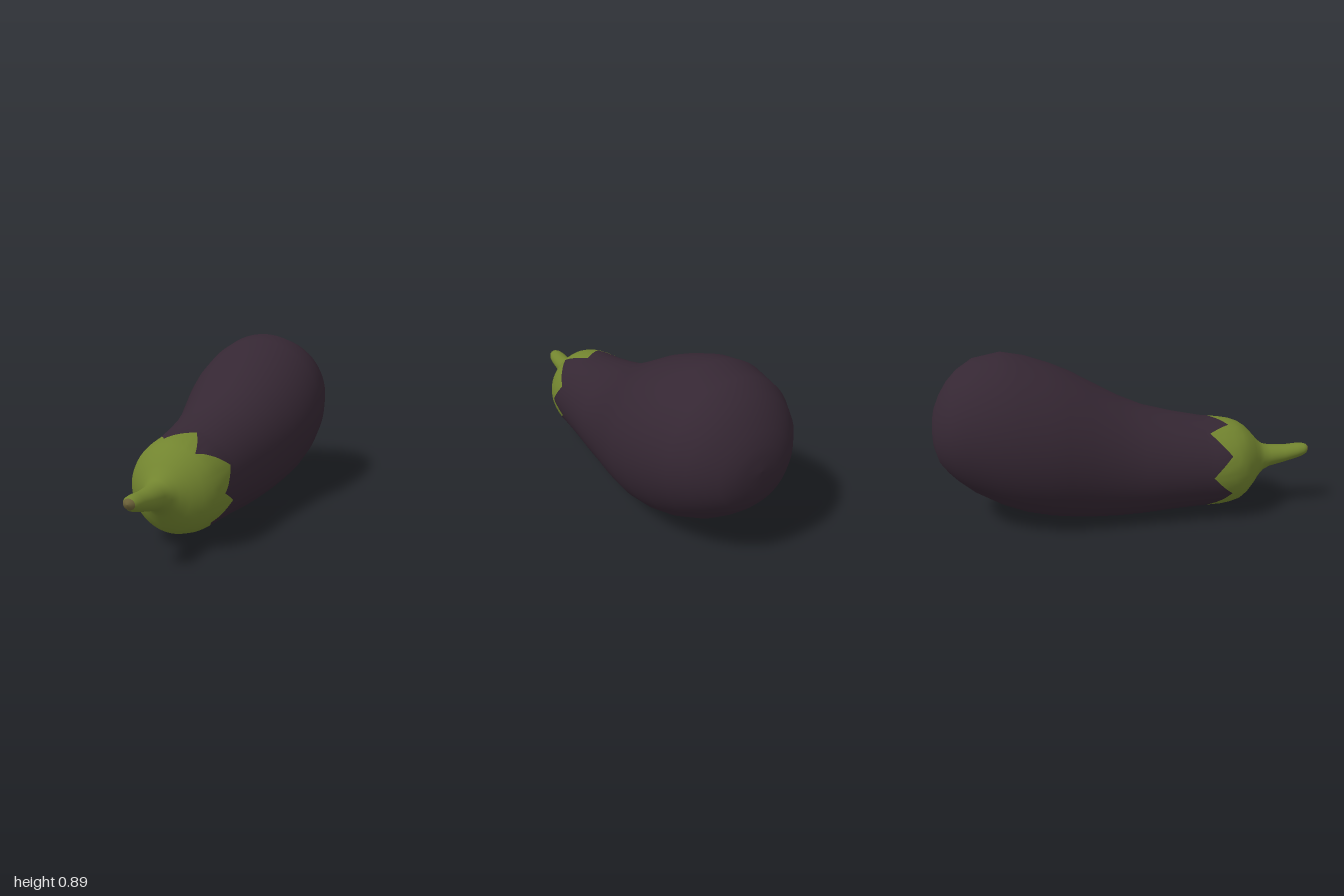
import * as THREE from 'three';

// Cross-sections from the blossom end to the stem tip: z, bottom y, top y, half width
const SECTIONS = [
  [-1, 0.515, 0.515, 0], [-0.995, 0.44, 0.58, 0.08], [-0.985, 0.385, 0.63, 0.135],
  [-0.96, 0.32, 0.69, 0.195], [-0.92, 0.275, 0.755, 0.25], [-0.87, 0.23, 0.81, 0.3],
  [-0.79, 0.17, 0.865, 0.347], [-0.65, 0.095, 0.895, 0.38], [-0.53, 0.052, 0.875, 0.389],
  [-0.4, 0.025, 0.832, 0.383], [-0.3, 0.014, 0.79, 0.365], [-0.19, 0.006, 0.73, 0.34],
  [-0.05, 0.004, 0.655, 0.306], [0.08, 0.012, 0.6, 0.286], [0.24, 0.028, 0.56, 0.264],
  [0.4, 0.04, 0.53, 0.246], [0.5, 0.046, 0.52, 0.239], [0.56, 0.056, 0.51, 0.226],
  [0.6, 0.07, 0.495, 0.21], [0.64, 0.1, 0.468, 0.18], [0.68, 0.145, 0.425, 0.135],
  [0.71, 0.187, 0.39, 0.097], [0.74, 0.22, 0.367, 0.073], [0.78, 0.241, 0.359, 0.06],
  [0.86, 0.262, 0.356, 0.052], [0.93, 0.283, 0.363, 0.047], [0.965, 0.295, 0.363, 0.04],
  [0.985, 0.308, 0.358, 0.029], [0.996, 0.322, 0.348, 0.015], [1, 0.335, 0.335, 0],
];

// Jagged calyx edge: angle in degrees (from +x, towards +y) and z
const EDGE = [
  [-3, 0.52], [24, 0.43], [57, 0.59], [78, 0.43], [108, 0.53], [126, 0.42], [156, 0.53],
  [183, 0.43], [210, 0.54], [240, 0.42], [264, 0.53], [285, 0.41], [318, 0.54], [342, 0.42], [357, 0.52],
];

const COLUMNS = 120;

// Linear lookup in a table sorted by its first column
function lookup(table, key, column) {
  let i = 1;
  while (i < table.length - 1 && table[i][0] < key) i++;
  const a = table[i - 1], b = table[i];
  return THREE.MathUtils.lerp(a[column], b[column], (key - a[0]) / (b[0] - a[0]));
}

function surfacePoint(z, angle) {
  const bottom = lookup(SECTIONS, z, 1), top = lookup(SECTIONS, z, 2), width = lookup(SECTIONS, z, 3);
  return [width * Math.cos(angle), (bottom + top) / 2 + (top - bottom) / 2 * Math.sin(angle), z];
}

export function createModel() {
  const skin = new THREE.MeshStandardMaterial({ name: 'aubergine purple', color: 0x352733 });
  const green = new THREE.MeshStandardMaterial({ name: 'leaf green', color: 0x72842f });
  const brown = new THREE.MeshStandardMaterial({ name: 'dry stem brown', color: 0x6a6038 });

  // Each row gives z for a column's calyx edge; rows near the edge follow its teeth
  const rows = SECTIONS.filter(s => s[0] <= 0.4).map(s => () => s[0]);
  for (const t of [0.33, 0.67, 1]) rows.push(edge => THREE.MathUtils.lerp(0.4, edge, t));
  const edgeRow = rows.length - 1;
  for (const t of [0.33, 0.67]) rows.push(edge => THREE.MathUtils.lerp(edge, 0.6, t));
  SECTIONS.filter(s => s[0] >= 0.6).forEach(s => rows.push(() => s[0]));
  const stemRow = rows.length - 9;
  const tipRow = rows.length - 3;

  const positions = [];
  for (const rowZ of rows) {
    for (let j = 0; j < COLUMNS; j++) {
      const degrees = j * 360 / COLUMNS;
      const edge = lookup(EDGE, degrees > 357 ? degrees - 360 : degrees, 1);
      positions.push(...surfacePoint(rowZ(edge), THREE.MathUtils.degToRad(degrees)));
    }
  }

  const stripIndices = (from, to) => {
    const index = [];
    for (let i = from; i < to; i++) {
      for (let j = 0; j < COLUMNS; j++) {
        const k = (j + 1) % COLUMNS;
        const a = i * COLUMNS + j, b = i * COLUMNS + k;
        const c = b + COLUMNS, d = a + COLUMNS;
        index.push(a, b, d, b, c, d);
      }
    }
    return index;
  };

  // Normals are computed over the whole skin so the parts join smoothly
  const whole = new THREE.BufferGeometry();
  whole.setAttribute('position', new THREE.Float32BufferAttribute(positions, 3));
  whole.setIndex(stripIndices(0, rows.length - 1));
  whole.computeVertexNormals();

  const group = new THREE.Group();
  group.name = 'eggplant';
  const addPart = (name, from, to, material) => {
    const geometry = whole.clone();
    geometry.setIndex(stripIndices(from, to));
    const mesh = new THREE.Mesh(geometry, material);
    mesh.name = name;
    group.add(mesh);
  };
  addPart('fruitBody', 0, edgeRow, skin);
  addPart('calyx', edgeRow, stemRow, green);
  addPart('stem', stemRow, tipRow, green);
  addPart('stemTip', tipRow, rows.length - 1, brown);
  return group;
}
